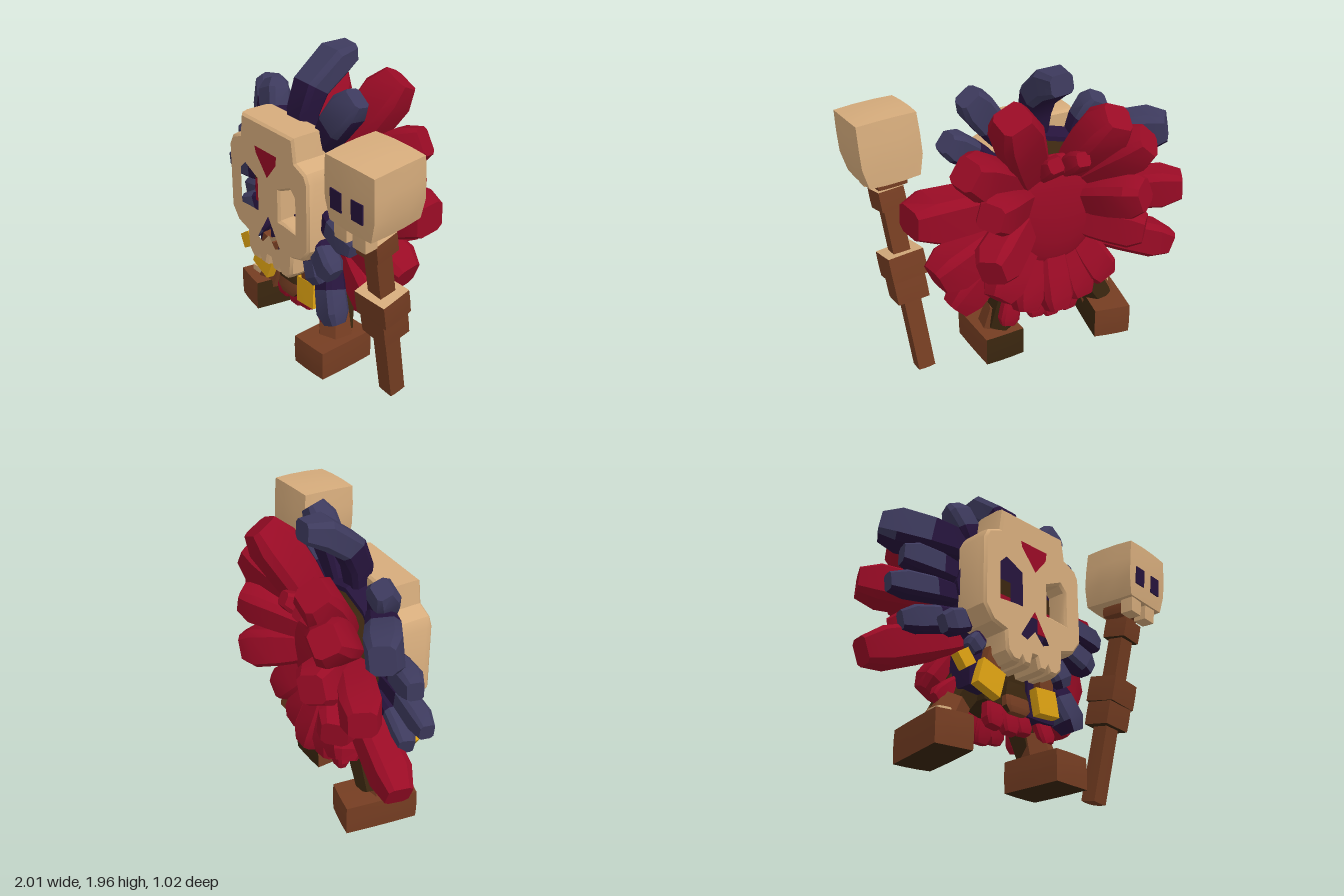
import * as THREE from 'three';
import { toCreasedNormals } from 'three/addons/utils/BufferGeometryUtils.js';

const mat = (name, color) => Object.assign(new THREE.MeshStandardMaterial({ color }), { name });
const V = (a) => new THREE.Vector3(...a);

export function createModel() {
  const root = new THREE.Group();
  root.name = 'maskedTribalFigure';
  const bone = mat('bone', 0xd6ac7c), red = mat('crimson', 0x990b25), slate = mat('slatePurple', 0x3d3a5d),
    plum = mat('deepPlum', 0x26143c), brown = mat('leatherBrown', 0x753d22), dark = mat('darkBrown', 0x3a260f),
    gold = mat('gold', 0xdba012);

  const add = (name, geo, material, pos = [0, 0, 0], rot = [0, 0, 0], parent = root) => {
    const m = new THREE.Mesh(geo, material);
    m.name = name;
    m.position.set(...pos);
    m.rotation.set(...rot);
    parent.add(m);
    return m;
  };

  // Block with pinched corners; an optional taper narrows the bottom. Side order: +x -x +y -y +z -z
  const block = (w, h, d, round = 0.2, taper = 1) => {
    const g = new THREE.BoxGeometry(1, 1, 1, 3, 3, 3), p = g.attributes.position, v = new THREE.Vector3();
    for (let i = 0; i < p.count; i++) {
      v.fromBufferAttribute(p, i);
      const k = v.y < -0.2 ? taper : 1;
      v.multiplyScalar(1 - round + round * Math.min(1, 0.5 / v.length())).multiply(V([w * k, h, d]));
      p.setXYZ(i, v.x, v.y, v.z);
    }
    g.deleteAttribute('normal');
    g.deleteAttribute('uv');
    return toCreasedNormals(g, 0.5);
  };

  // Chunky feather: chamfered-box cross-sections swept along a bent path.
  // The root and the faces turned downward take the first material, the rest the second.
  const SECTION = [[1, .62], [.72, 1], [-.72, 1], [-1, .62], [-1, -.62], [-.72, -1], [.72, -1], [1, -.62]];
  const RINGS = [[0, .65], [.25, .85], [.48, .95], [.82, 1], [1, .68]];
  const feather = (name, from, to, width, mats, bend = [0, 0, 0.05], thick = 0.85) => {
    const a = V(from), c = V(to), b = a.clone().lerp(c, 0.5).add(V(bend));
    const curve = new THREE.QuadraticBezierCurve3(a, b, c), pos = [], rootFaces = [], tipFaces = [];
    for (const [t, s] of RINGS) {
      const T = curve.getTangent(t), U = V([0, 0, 1]).addScaledVector(T, -T.z).normalize();
      const S = U.clone().cross(T), o = curve.getPoint(t);
      for (const [x, y] of SECTION) {
        const q = o.clone().addScaledVector(S, x * s * width / 2).addScaledVector(U, y * s * thick * width / 2);
        pos.push(q.x, q.y, q.z);
      }
    }
    const at = (i) => V(pos.slice(i * 3, i * 3 + 3));
    for (let r = 0; r < RINGS.length - 1; r++)
      for (let j = 0; j < 8; j++) {
        const p = r * 8 + j, q = r * 8 + (j + 1) % 8;
        const n = at(q).sub(at(p)).cross(at(q + 8).sub(at(p))).normalize();
        (r < 2 || n.y < -0.6 ? rootFaces : tipFaces).push(p, q, q + 8, p, q + 8, p + 8);
      }
    pos.push(c.x, c.y, c.z);
    const last = (RINGS.length - 1) * 8;
    for (let j = 0; j < 8; j++) tipFaces.push(last + 8, last + j, last + (j + 1) % 8);
    const g = new THREE.BufferGeometry();
    g.setAttribute('position', new THREE.Float32BufferAttribute(pos, 3));
    g.setIndex([...rootFaces, ...tipFaces]);
    g.addGroup(0, rootFaces.length, 0);
    g.addGroup(rootFaces.length, tipFaces.length, 1);
    return add(name, toCreasedNormals(g, 0.5), mats);
  };

  // Straight limb between two points
  const limb = (name, from, to, r0, r1, material) => {
    const a = V(from), d = V(to).sub(a);
    const m = add(name, toCreasedNormals(new THREE.CylinderGeometry(r1, r0, d.length(), 6), 0.5), material);
    m.position.copy(a).addScaledVector(d, 0.5);
    m.quaternion.setFromUnitVectors(V([0, 1, 0]), d.normalize());
  };

  // Body core, collar behind the mask and shallow back
  add('torso', block(0.5, 0.9, 0.3, 0.35), dark, [-0.12, 0.84, 0]);
  const disc = (r0, r1, h) => toCreasedNormals(new THREE.CylinderGeometry(r0, r1, h, 12).rotateX(Math.PI / 2), 0.5);
  add('collar', disc(0.42, 0.38, 0.14), plum, [-0.13, 1.1, 0.08]);
  add('featherBase', disc(0.38, 0.32, 0.12), dark, [-0.13, 1.07, -0.05]);
  add('backDisc', new THREE.SphereGeometry(1, 20, 12).scale(0.32, 0.38, 0.1), red, [-0.11, 1.05, -0.14]);

  // Crimson back feathers: root, tip, width, depth ratio
  [[[-.24, 1.25, -.08], [-.41, 1.69, -.36], .26], [[0, 1.25, -.08], [.25, 1.8, -.34], .27],
    [[.06, 1.22, -.07], [.52, 1.51, -.3], .25], [[.08, 1.15, -.06], [.79, 1.18, -.1], .26, 1.25],
    [[.08, .98, -.06], [.64, .74, -.08], .25, 1.1], [[.08, .88, -.04], [.5, .46, -.02], .21, 1.1],
    [[-.3, .88, -.06], [-.98, .61, -.14], .23], [[-.3, 1.1, -.08], [-.9, 1.14, -.34], .24],
    [[-.3, 1.2, -.08], [-.6, 1.52, -.4], .25], [[-.3, 1.1, -.12], [-.56, 1.2, -.46], .25],
    [[-.28, .95, -.1], [-.64, .9, -.36], .24], [[.05, 1.02, -.1], [.42, .9, -.4], .25],
    [[.05, 1.15, -.1], [.42, 1.26, -.4], .23], [[.02, .9, -.1], [.3, .58, -.22], .22],
    [[-.28, .85, -.1], [-.46, .52, -.2], .22], [[-.22, .85, -.1], [-.29, .43, -.2], .2],
    [[-.11, .85, -.1], [-.1, .4, -.24], .2], [[.02, .85, -.1], [.1, .43, -.2], .2],
    [[-.19, 1.3, -.14], [-.2, 1.46, -.34], .13], [[-.05, 1.3, -.14], [-.02, 1.46, -.34], .13],
  ].forEach(([a, b, w, k = 0.95]) => feather('crimsonFeather', a, b, w, [red, red], [0, 0, 0.03], k));

  // Plum feathers with slate tips framing the mask
  [[[-.11, 1.4, .11], [-.1, 1.9, -.25], .21, [0, .2, .21]], [[.06, 1.42, .08], [.34, 1.8, .06], .2],
    [[.15, 1.3, .1], [.48, 1.54, .08], .18], [[.15, 1.1, .16], [.55, 1, .24], .15],
    [[.15, .95, .18], [.42, .78, .28], .16], [[.1, .85, .16], [.23, .63, .23], .15],
    [[.17, .74, .1], [.34, .38, .21], .18], [[-.38, 1.38, .08], [-.86, 1.48, -.2], .25],
    [[-.37, 1.38, .08], [-.5, 1.66, .02], .18], [[-.4, 1.18, .06], [-.86, 1.2, .02], .17],
    [[-.4, 1.06, .06], [-.96, .98, .04], .15], [[-.4, .92, .05], [-.83, .8, 0], .16],
    [[-.4, .9, .1], [-.65, .79, .15], .15], [[-.38, .8, .14], [-.49, .67, .2], .11],
  ].forEach(([a, b, w, k]) => feather('plumFeather', a, b, w, [plum, slate], k));

  // Skull mask, extruded with eye and nose openings
  const poly = (pts, C = THREE.Shape) => new C(pts.map((p) => new THREE.Vector2(...p)));
  const jaw = [[.36, 1.55], [.255 - .01, 1.55]];
  const half = [[jaw[1][0], 1.55], [.265, 1.41], [.36, 1.37], [.385, 1.32], [.385, .9], [.325, .82], [.22, .79],
    [.21, .67], [.17, .63], [.13, .63], [.105, .67], [.08, .63], [.045, .63], [.025, .7]];
  const mirror = (pts) => [...pts.map(([x, y]) => [x - .125, y]), ...pts.map(([x, y]) => [-x - .125, y]).reverse()];
  const face = poly(mirror(half));
  const eye = [[.16, .97], [.28, .96], [.28, 1.2], [.23, 1.25], [.1, 1.19], [.1, .97]];
  for (const s of [1, -1]) face.holes.push(poly(eye.map(([x, y]) => [-.125 + s * x, y]), THREE.Path));
  face.holes.push(poly([[-.125, .97], [-.01, .79], [-.06, .77], [-.125, .84], [-.19, .77], [-.24, .79]], THREE.Path));
  const maskGeo = new THREE.ExtrudeGeometry(face,
    { depth: 0.14, bevelThickness: 0.05, bevelSize: 0.02, bevelSegments: 2 });
  add('mask', toCreasedNormals(maskGeo, 0.6), bone, [0, 0, 0.17]);
  const triangle = new THREE.ShapeGeometry(poly([[-.24, 1.4], [-.23, 1.36], [-.12, 1.23], [-.03, 1.34], [-.02, 1.4]]));
  add('foreheadMark', triangle, red, [0, 0, 0.364]);

  // Plates seen through the openings
  for (const x of [-.32, .07]) {
    add('eyeGlow', new THREE.BoxGeometry(0.24, 0.16, 0.008), red, [x, 1, 0.23]);
    add('eyeShade', new THREE.BoxGeometry(0.24, 0.1, 0.008), dark, [x, 1.13, 0.23]);
    add('eyeTop', new THREE.BoxGeometry(0.24, 0.1, 0.008), plum, [x, 1.23, 0.23]);
  }
  add('noseShade', new THREE.BoxGeometry(0.26, 0.26, 0.008), plum, [-.125, .87, .25]);

  // Hips, loincloth, belt ornaments and ragged fringe
  add('hips', block(0.44, 0.24, 0.3), dark, [-0.13, 0.54, 0.02]);
  for (const [x, h] of [[.1, .4], [-.36, .24]]) add('hipWrap', block(0.24, h, 0.18), plum, [x, .58, .1]);
  feather('loincloth', [-.13, .56, .19], [-.13, .37, .21], .19, [dark, brown], [0, 0, 0], .3);
  for (const [x, y, s, r] of [[-.36, .52, .18, -.35], [.09, .49, .17, .08], [-.55, .585, .1, .6]])
    add('goldPlate', block(s, s, 0.06, 0.08), gold, [x, y, 0.22], [-0.1, 0, r]);
  for (const [x, r] of [[-.33, -.3], [.09, .1]]) add('strap', block(0.12, 0.14, 0.08), brown, [x, .64, .2], [0, 0, r]);
  for (const [x, y] of [[-.26, .28], [-.13, .27], [-.02, .29], [.18, .28]])
    for (const z of [.15, -.1])
      feather('fringe', [x * .8 - .02, .5, z * .7], [x, y, z], .13, [red, red], [0, 0, 0], .6);
  feather('fringe', [-.4, .55, .04], [-.59, .38, .04], .13, [red, red], [0, 0, 0], .6);

  // Legs and boots
  limb('rightLeg', [-.32, .6, .02], [-.53, .26, -.02], .13, .1, dark);
  limb('leftLeg', [.08, .58, 0], [.17, .2, .05], .13, .1, dark);
  limb('rightBootShaft', [-.46, .4, .04], [-.55, .22, .03], .1, .13, brown);
  limb('leftBootShaft', [.15, .34, .06], [.18, .17, .08], .1, .12, brown);
  add('rightBoot', block(0.25, 0.21, 0.48, 0.12), [dark, brown, brown, dark, brown, brown],
    [-0.55, 0.175, -0.02], [0, -0.18, 0]);
  add('leftBoot', block(0.28, 0.2, 0.42, 0.12), [brown, brown, brown, dark, brown, dark],
    [0.2, 0.1, 0.115], [0, 0.05, 0]);
  add('bootCuff', block(0.1, 0.08, 0.1), bone, [-0.6, 0.28, 0.09], [0, 0, 0.1]);

  // Staff, built upright along y and then leaned
  const staff = new THREE.Group();
  staff.name = 'staff';
  staff.position.set(0.695, 0.03, 0.05);
  staff.quaternion.setFromUnitVectors(V([0, 1, 0]), V([0.1, 1.32, 0.27]).normalize());
  root.add(staff);
  const capped = [brown, brown, bone, dark, brown, brown];
  add('shaft', block(0.11, 1.33, 0.11, 0.04), brown, [0, 0.67, 0], [0, 0, 0], staff);
  add('lowerGrip', block(0.21, 0.17, 0.19, 0.1), [brown, brown, brown, dark, brown, brown], [0, 0.58, 0], [0, 0, 0], staff);
  add('upperGrip', block(0.24, 0.17, 0.21, 0.1), capped, [0, 0.73, 0], [0, 0.08, 0], staff);
  add('collarRing', block(0.17, 0.13, 0.17, 0.1), capped, [0, 1.16, 0], [0, 0.1, 0], staff);

  // Small skull on the staff
  const skull = new THREE.Group();
  skull.name = 'staffSkull';
  skull.position.set(0.795, 1.51, 0.315);
  skull.rotation.set(0.07, 0.05, -0.05);
  root.add(skull);
  add('cranium', block(0.4, 0.42, 0.39, 0.2, 0.87), bone, [0, 0, 0], [0, 0, 0], skull);
  add('skullNeck', block(0.2, 0.1, 0.18), brown, [-0.015, -0.22, 0], [0, 0, 0], skull);
  for (const s of [-1, 1]) {
    add('skullEye', new THREE.BoxGeometry(0.085, 0.12, 0.008), plum, [s * 0.08 - 0.01, -0.04, 0.192], [0, 0, 0], skull);
    add('skullJaw', block(0.1, 0.17, 0.09, 0.1), bone, [s * 0.072 - 0.015, -0.21, 0.125], [0, 0, 0], skull);
  }
  return root;
}
